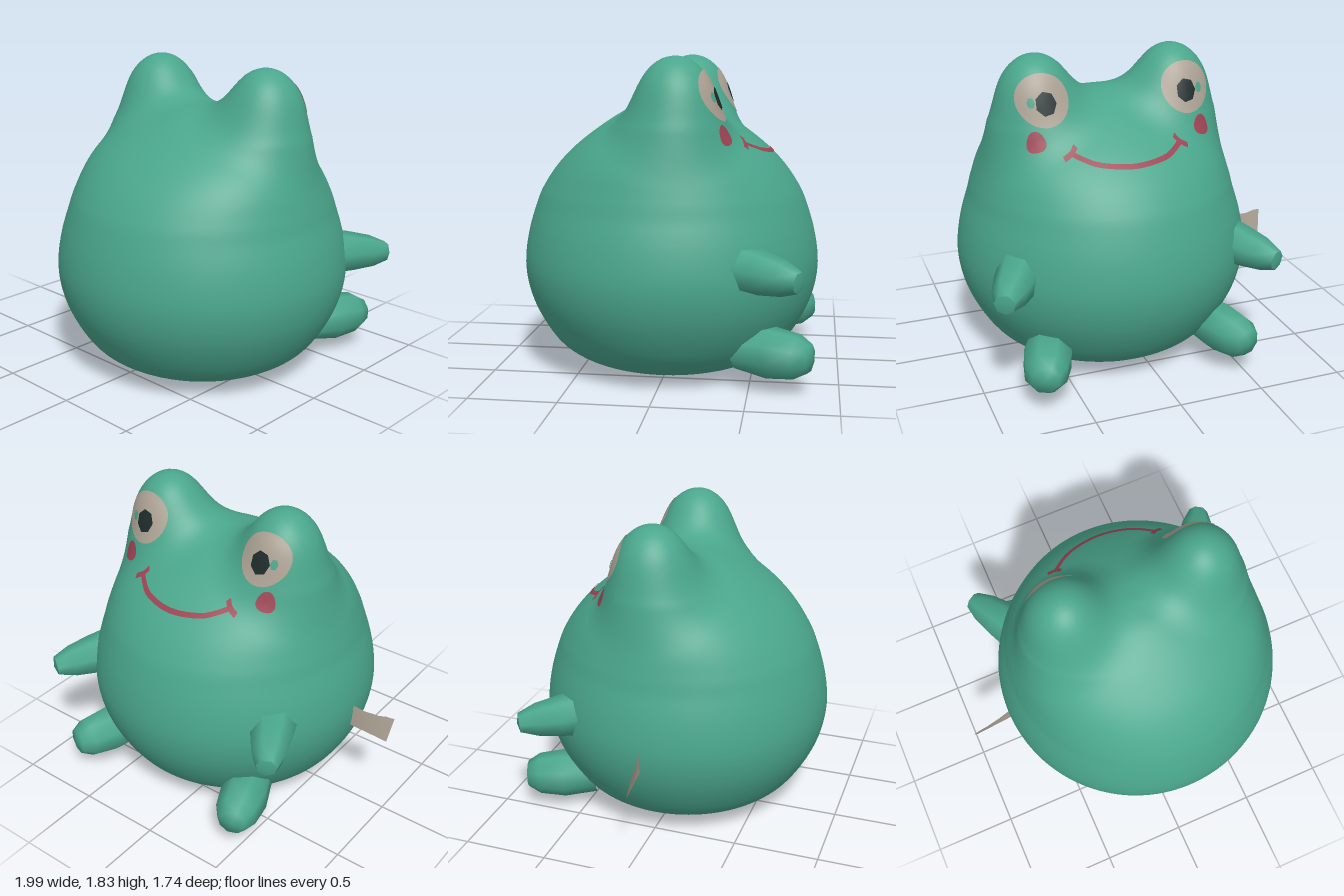
import * as THREE from 'three';
import { mergeVertices, toCreasedNormals } from 'three/addons/utils/BufferGeometryUtils.js';

const CX = 0.12; // the body's axis; the side tag shifts it off centre
const V2 = (p) => new THREE.Vector2(p[0], p[1]);
const V3 = (x, y, z) => new THREE.Vector3(x, y, z);

// Plump body profile: radius, height
const profile = new THREE.SplineCurve([
  [0, 0], [0.27, 0], [0.43, 0.03], [0.59, 0.095], [0.712, 0.2], [0.825, 0.4], [0.87, 0.6], [0.85, 0.8],
  [0.79, 1.0], [0.74, 1.1], [0.67, 1.2], [0.575, 1.3], [0.45, 1.4], [0.3, 1.5], [0.15, 1.575], [0, 1.6],
].map(V2)).getPoints(54).map((p) => V2([Math.max(p.x, 0), Math.max(p.y, 0)]));

// Signed distance to the revolved profile
function bodyDistance(r, y) {
  let best = Infinity, inside = false;
  for (let i = 1; i < profile.length; i++) {
    const a = profile[i - 1], b = profile[i];
    const ex = b.x - a.x, ey = b.y - a.y, px = r - a.x, py = y - a.y;
    const t = Math.min(1, Math.max(0, (px * ex + py * ey) / (ex * ex + ey * ey || 1)));
    best = Math.min(best, Math.hypot(px - ex * t, py - ey * t));
    if ((a.y > y) !== (b.y > y) && r < a.x + (ex * (y - a.y)) / ey) inside = !inside;
  }
  return inside ? -best : best;
}

// Approximate distance to an eye bump (an ellipsoid)
function bumpDistance(x, y, z) {
  const a = [x / 0.24, (y - 1.5) / 0.335, (z + 0.075) / 0.24];
  const k0 = Math.hypot(...a);
  const k1 = Math.hypot(a[0] / 0.24, a[1] / 0.335, a[2] / 0.24);
  return k1 < 1e-6 ? -0.24 : (k0 * (k0 - 1)) / k1;
}

// Body, widened sideways towards the head, softly blended with both bumps
function skin(p) {
  const dx = p.x - CX;
  const t = Math.min(1, Math.max(0, (p.y - 0.95) / 0.5));
  const a = bodyDistance(Math.hypot(dx / (1 + 0.4 * t * t), p.z), p.y);
  const b = bumpDistance(Math.abs(dx) - 0.41, p.y, p.z);
  const h = Math.max(0.2 - Math.abs(a - b), 0) / 0.2;
  return Math.min(a, b) - h * h * 0.05;
}

// First point along a ray that lies `level` above the skin
function hit(origin, dir, level = 0) {
  const p = origin.clone();
  for (let i = 0; i < 60; i++) {
    const d = skin(p) - level;
    if (Math.abs(d) < 1e-5) break;
    p.addScaledVector(dir, d * 0.75);
  }
  return p;
}

// Move every vertex by a rule
function reshape(geo, rule) {
  const pos = geo.attributes.position, v = V3(0, 0, 0);
  for (let i = 0; i < pos.count; i++) {
    v.fromBufferAttribute(pos, i);
    const q = rule(v);
    pos.setXYZ(i, q.x, q.y, q.z);
  }
  geo.computeVertexNormals();
  return geo;
}

// Lay a flat patch on the skin, from the face side or from above
const drapeFace = (geo, x, y, level) =>
  reshape(geo, (v) => hit(V3(x - v.x, y + v.y, -1.2), V3(0, 0, 1), level));
const drapeTop = (geo, x, z, level) =>
  reshape(geo, (v) => hit(V3(x + v.x, 2, z - v.y), V3(0, -1, 0), level));

const disc = (rx, ry, sides = 32, rings = 6) =>
  new THREE.RingGeometry(0.0005, 1, sides, rings).scale(rx, ry, 1);

// Flat ribbon along points given as x, z
function ribbon(points, width) {
  const curve = new THREE.SplineCurve(points.map(([x, z]) => V2([x, -z])));
  return reshape(new THREE.PlaneGeometry(1, width, 48, 2), (v) => {
    const t = Math.min(1, Math.max(0, v.x + 0.5));
    const c = curve.getPoint(t), d = curve.getTangent(t);
    return V3(c.x - d.y * v.y, c.y + d.x * v.y, 0);
  });
}

// Stubby low-poly limb from a to b; rings are [radius, fraction of length]
function limb(a, b, rings, sides) {
  const dir = b.clone().sub(a), len = dir.length();
  const geo = new THREE.LatheGeometry(rings.map(([r, t]) => V2([r, t * len])), sides);
  geo.applyQuaternion(new THREE.Quaternion().setFromUnitVectors(V3(0, 1, 0), dir.normalize()));
  geo.translate(a.x, a.y, a.z);
  return toCreasedNormals(geo, 0.95);
}

export function createModel() {
  const group = new THREE.Group();
  const material = (name, color, side = THREE.FrontSide) => {
    const m = new THREE.MeshStandardMaterial({ color, side });
    m.name = name;
    return m;
  };
  const green = material('green skin', 0x4aa68c);
  const beige = material('beige', 0xaca294, THREE.DoubleSide);
  const red = material('dark red', 0x9c4453);
  const black = material('pupil black', 0x1f2b2c);
  const add = (name, geo, mat) => {
    const mesh = new THREE.Mesh(geo, mat);
    mesh.name = name;
    group.add(mesh);
  };

  // Body with eye bumps: a sphere shrunk onto the skin
  let ball = new THREE.IcosahedronGeometry(1, 40);
  ball.deleteAttribute('normal');
  ball.deleteAttribute('uv');
  ball = mergeVertices(ball, 1e-5);
  const centre = V3(CX, 0.8, 0);
  add('body', reshape(ball, (v) => {
    const dir = v.clone().normalize();
    return hit(centre.clone().addScaledVector(dir, 1.6), dir.negate());
  }), green);

  for (const s of [-1, 1]) {
    const side = s > 0 ? 'left' : 'right';
    const x = (d) => CX + s * d;
    // Eye, pupil and the small green glint
    add(side + 'Eye', drapeFace(disc(0.148, 0.14), x(0.425), 1.62, 0.004), beige);
    add(side + 'Pupil', drapeFace(disc(0.06, 0.066, 7, 4), x(0.415), 1.605, 0.007), black);
    add(side + 'Glint', drapeFace(disc(0.022, 0.03, 6, 2), x(0.497), 1.612, 0.009), green);
    // Cheek
    add(side + 'Cheek', drapeTop(disc(0.056, 0.021, 20, 3).rotateZ(s * -0.45), x(0.49), -0.362, 0.004), red);
    // Mouth corner
    add(side + 'MouthCorner', drapeTop(
      ribbon([[x(0.365), -0.465], [x(0.32), -0.455], [x(0.29), -0.43]].sort((a, b) => a[0] - b[0]), 0.027),
      0, 0, 0.005), red);
    // Limbs
    add(side + 'Arm', limb(V3(x(0.58), 0.715, -0.38), V3(x(0.81), 0.675, -0.785),
      [[0.15, 0], [0.125, 0.45], [0.1, 0.75], [0.06, 0.97], [0, 1]], 7), green);
    add(side + 'Foot', limb(V3(x(0.47), 0.225, -0.44), V3(x(0.615), 0.215, -0.85),
      [[0.12, 0], [0.145, 0.45], [0.125, 0.8], [0.08, 0.97], [0, 1]], 8), green);
  }

  // Smile
  add('mouth', drapeTop(ribbon([[-0.205, -0.45], [-0.075, -0.55], [CX, -0.592], [0.315, -0.55], [0.445, -0.45]], 0.024),
    0, 0, 0.004), red);

  // Twisted side tag with a notched top edge
  add('tag', reshape(new THREE.PlaneGeometry(1, 1, 6, 1), (v) => {
    const t = 0.5 - v.x, top = v.y > 0;
    const notch = t > 0.3 && t < 0.8 ? -0.012 : 0;
    return V3(-0.72 - t * (top ? 0.28 : 0.26), top ? 0.655 - 0.015 * t + notch : 0.515 - 0.025 * t,
      (top ? 0.055 : 0.015) * t);
  }), beige);

  return group;
}
